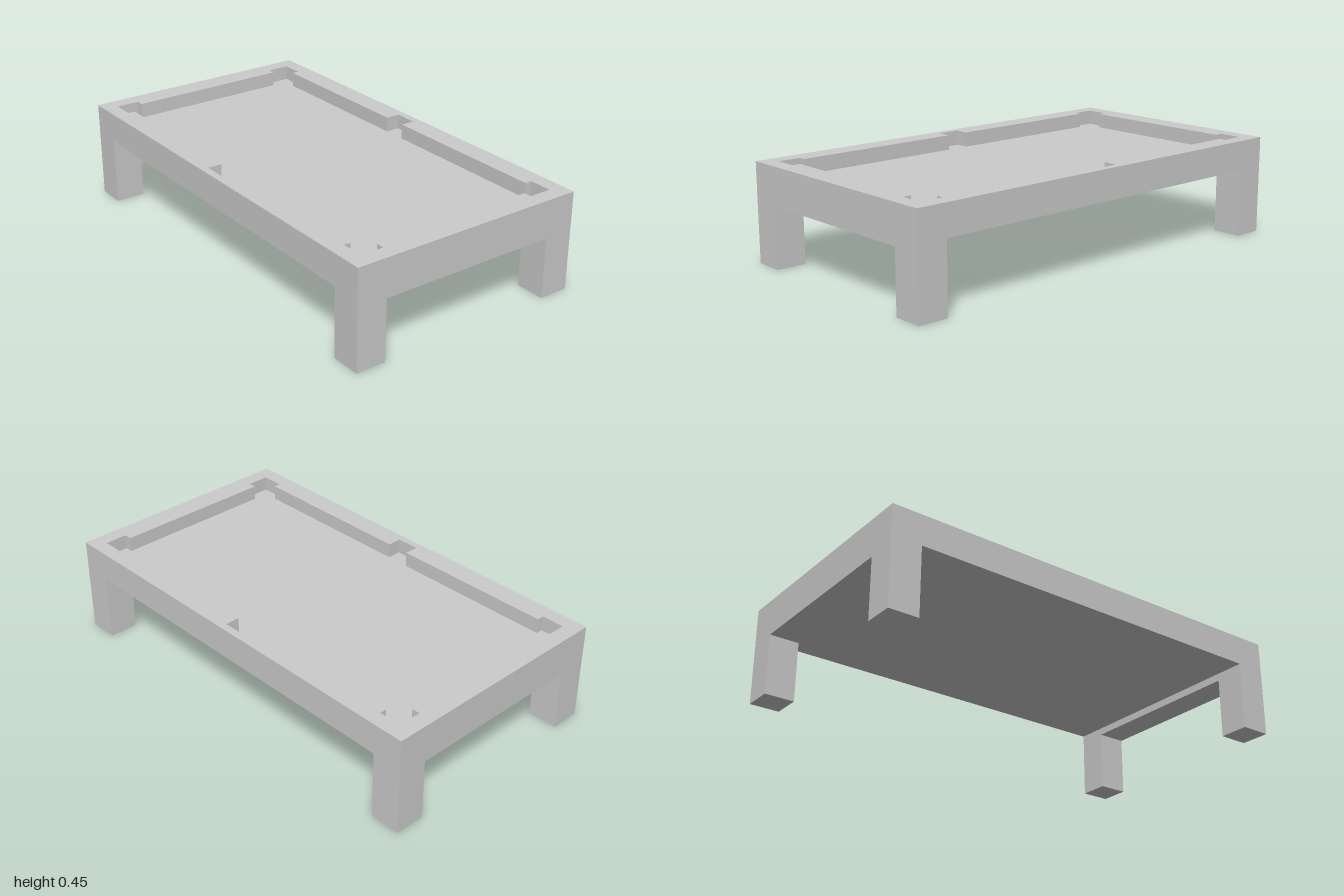
import * as THREE from 'three';

const W = 2, D = 1.1, TOP = 0.447, FLOOR = 0.379, UNDER = 0.31, END = 0.276, LEG = 0.137;

export function createModel() {
  const group = new THREE.Group();
  const material = new THREE.MeshStandardMaterial({ color: 0xcccccc, flatShading: true });

  const add = (geometry, name) => {
    const mesh = new THREE.Mesh(geometry, material);
    mesh.name = name;
    group.add(mesh);
    return mesh;
  };
  // Box given by its size, centre in x and z, and bottom and top heights
  const box = (name, w, d, x, z, y0, y1) =>
    add(new THREE.BoxGeometry(w, y1 - y0, d), name).position.set(x, (y0 + y1) / 2, z);

  // Plan outline in x and z, laid out for extrusion upwards
  const plan = (points) => points.map(([x, z]) => new THREE.Vector2(x, -z));

  // Raised rim, counter-clockwise from above
  const rim = new THREE.Shape(plan([
    [-W / 2, D / 2], [W / 2, D / 2], [W / 2, -D / 2], [-W / 2, -D / 2],
  ]));
  // Front half of the opening: right end, corner pocket, middle pocket, corner pocket, left end
  const half = [
    [0.893, 0.378], [0.93, 0.378], [0.93, 0.483], [0.827, 0.483], [0.827, 0.451],
    [0.034, 0.451], [0.034, 0.516], [-0.071, 0.516], [-0.071, 0.451],
    [-0.827, 0.451], [-0.827, 0.483], [-0.93, 0.483], [-0.93, 0.378], [-0.893, 0.378],
  ];
  const backHalf = half.map(([x, z]) => [x, -z]).reverse();
  rim.holes.push(new THREE.Path(plan([...half, ...backHalf])));
  const rimGeometry = new THREE.ExtrudeGeometry(rim, { depth: TOP - FLOOR, bevelEnabled: false });
  rimGeometry.rotateX(-Math.PI / 2);
  add(rimGeometry, 'pocketedRim').position.y = FLOOR;

  // Playing bed
  box('bed', W, D, 0, 0, UNDER, FLOOR);

  for (const sx of [-1, 1]) {
    const x = sx * (W - LEG) / 2;
    const side = sx > 0 ? 'left' : 'right';
    // Deeper rail under each end, between the legs
    box(side + 'EndRail', LEG, D - 2 * LEG, x, 0, END, UNDER);
    // Square legs flush with the outer corners
    for (const sz of [-1, 1]) {
      box(side + (sz > 0 ? 'FrontLeg' : 'BackLeg'), LEG, LEG, x, sz * (D - LEG) / 2, 0, UNDER);
    }
  }
  return group;
}
